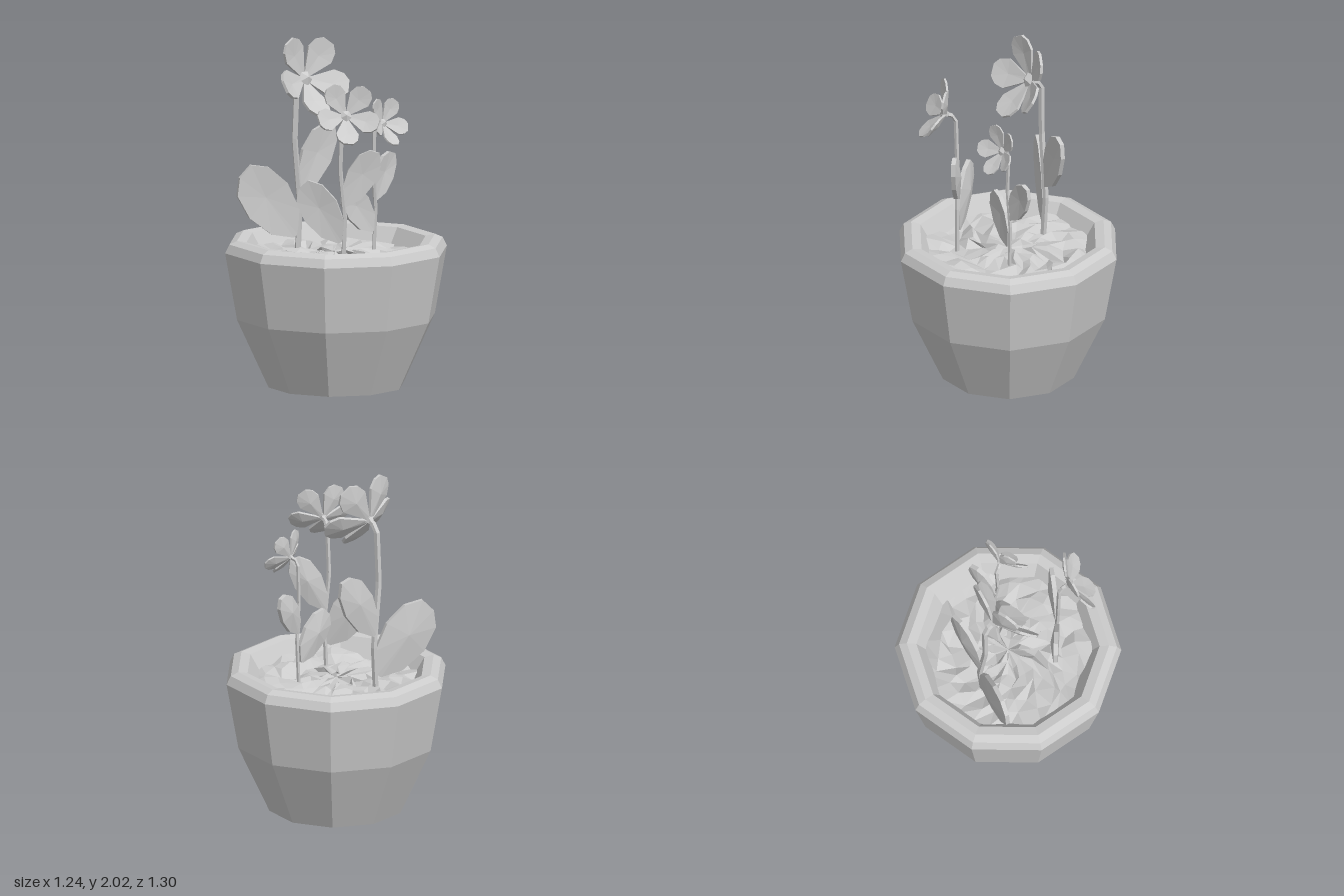
import * as THREE from 'three';

const V = (a) => new THREE.Vector3(...a);
const material = new THREE.MeshStandardMaterial({ color: 0xcccccc, flatShading: true, side: THREE.DoubleSide });

function part(name, geometry) {
  const mesh = new THREE.Mesh(geometry, material);
  mesh.name = name;
  return mesh;
}

// Outlines from base (y = 0) to tip (y = 1), as [half-width fraction, height]
const petalOutline = [[0.12, 0], [0.4, 0.2], [1, 0.62], [0.85, 0.86], [0.42, 1], [-0.42, 1], [-0.85, 0.86], [-1, 0.62], [-0.4, 0.2], [-0.12, 0]];
const leafOutline = [[0.1, 0], [0.75, 0.22], [1, 0.55], [0.8, 0.84], [0.3, 1], [-0.35, 0.97], [-0.85, 0.82], [-1, 0.52], [-0.7, 0.2], [-0.1, 0]];

// Thin faceted blade: two rims and a raised centre point on each side
function blade(outline, length, width, thickness, bulge) {
  const n = outline.length, pos = [], index = [];
  for (const side of [1, -1]) {
    for (const [x, y] of outline) pos.push(x * width / 2, y * length, side * thickness / 2);
    pos.push(0, length * 0.58, side * (thickness / 2 + (side > 0 ? -bulge * 0.5 : bulge)));
  }
  for (let i = 0; i < n; i++) {
    const j = (i + 1) % n, b = n + 1;
    index.push(n, i, j, b + n, b + j, b + i, i, b + i, j, j, b + i, b + j);
  }
  const g = new THREE.BufferGeometry();
  g.setAttribute('position', new THREE.Float32BufferAttribute(pos, 3));
  g.setIndex(index);
  g.computeVertexNormals();
  return g;
}

// Leaf standing in the vertical plane through base and tip
function leaf({ base, tip, width }) {
  const a = V(base), along = V(tip).sub(a), length = along.length();
  along.normalize();
  const normal = new THREE.Vector3(-along.z, 0, along.x).normalize();
  if (normal.z < 0) normal.negate();
  const across = new THREE.Vector3().crossVectors(along, normal);
  const mesh = part('leaf', blade(leafOutline, length, width, 0.025, 0.022));
  mesh.quaternion.setFromRotationMatrix(new THREE.Matrix4().makeBasis(across, along, normal));
  mesh.position.copy(a);
  return mesh;
}

// Five cupped petals around a small faceted centre, facing +z before rotation
function flowerHead(size) {
  const head = new THREE.Group();
  head.name = 'flowerHead';
  for (let i = 0; i < 5; i++) {
    const spoke = new THREE.Group();
    spoke.name = 'petalSpoke';
    const petal = part('petal', blade(petalOutline, 0.25, 0.175, 0.016, 0.016));
    petal.position.set(0, 0.015, 0);
    petal.rotation.x = 0.42;
    spoke.add(petal);
    spoke.rotation.z = THREE.MathUtils.degToRad(174 + i * 72);
    head.add(spoke);
  }
  const centre = part('flowerCentre', new THREE.ConeGeometry(0.05, 0.03, 5));
  centre.rotation.x = Math.PI / 2;
  centre.position.z = 0.03;
  const cup = part('flowerBase', new THREE.CylinderGeometry(0.04, 0.018, 0.04, 5));
  cup.rotation.x = Math.PI / 2;
  cup.position.z = -0.005;
  head.add(centre, cup);
  head.scale.setScalar(size);
  return head;
}

function flower({ stem, radius, size, pitch, yaw, leaves }) {
  const group = new THREE.Group();
  group.name = 'flower';
  // Straight stem pieces with sharp bends
  const pts = stem.map(V);
  const path = new THREE.CurvePath();
  for (let i = 1; i < pts.length; i++) path.add(new THREE.LineCurve3(pts[i - 1], pts[i]));
  group.add(part('stem', new THREE.TubeGeometry(path, 22, radius, 5)));
  const head = flowerHead(size);
  head.position.copy(pts[pts.length - 1]);
  head.rotation.set(-THREE.MathUtils.degToRad(pitch), THREE.MathUtils.degToRad(yaw), 0, 'YXZ');
  group.add(head, ...leaves.map(leaf));
  return group;
}

// Crumpled disc of earth
function soil() {
  let seed = 7;
  const rand = () => (seed = (seed * 16807) % 2147483647) / 2147483647 - 0.5;
  const g = new THREE.RingGeometry(0.001, 0.485, 30, 6);
  g.rotateX(-Math.PI / 2);
  const p = g.attributes.position, cols = 31;
  for (let r = 0; r <= 6; r++) {
    for (let c = 0; c < cols; c++) {
      const i = r * cols + c;
      if (c === cols - 1) {
        p.setXYZ(i, p.getX(r * cols), p.getY(r * cols), p.getZ(r * cols));
        continue;
      }
      const wobble = r === 0 || r === 6 ? 0 : 0.05;
      p.setXYZ(i, p.getX(i) + rand() * wobble, 0.765 + (r ? rand() * 0.06 : 0.01), p.getZ(i) + rand() * wobble);
    }
  }
  g.computeVertexNormals();
  return part('soil', g);
}

export function createModel() {
  const model = new THREE.Group();
  model.name = 'pottedFlowers';

  // Ten-sided pot with bevelled rim and hollow top
  const profile = [[0, 0], [0.395, 0], [0.58, 0.4], [0.65, 0.79], [0.625, 0.84], [0.58, 0.86], [0.525, 0.85], [0.44, 0.71], [0, 0.71]];
  model.add(part('pot', new THREE.LatheGeometry(profile.map(([x, y]) => new THREE.Vector2(x, y)), 10)));
  model.add(soil());

  // Tall flower at the back
  model.add(flower({
    stem: [[-0.11, 0.72, -0.25], [-0.09, 1.02, -0.26], [-0.13, 1.4, -0.25], [-0.12, 1.71, -0.245], [-0.115, 1.745, -0.225], [-0.11, 1.765, -0.175]],
    radius: 0.018, size: 1, pitch: 23, yaw: 10,
    leaves: [
      { base: [-0.12, 0.84, -0.26], tip: [-0.42, 1.24, -0.32], width: 0.3 },
      { base: [-0.09, 1.09, -0.26], tip: [0.12, 1.47, -0.275], width: 0.21 },
    ],
  }));
  // Middle flower at the front
  model.add(flower({
    stem: [[-0.11, 0.72, 0.27], [-0.1, 1.02, 0.275], [-0.125, 1.3, 0.265], [-0.12, 1.58, 0.275], [-0.122, 1.61, 0.295], [-0.13, 1.625, 0.335]],
    radius: 0.013, size: 0.76, pitch: 24, yaw: -16,
    leaves: [
      { base: [-0.12, 0.88, 0.26], tip: [-0.29, 1.22, 0.13], width: 0.22 },
      { base: [-0.1, 1.09, 0.27], tip: [0.06, 1.41, 0.35], width: 0.17 },
    ],
  }));
  // Short flower on the left
  model.add(flower({
    stem: [[0.21, 0.72, 0.065], [0.225, 1.02, 0.065], [0.205, 1.25, 0.075], [0.215, 1.48, 0.07], [0.22, 1.505, 0.085], [0.24, 1.52, 0.115]],
    radius: 0.011, size: 0.6, pitch: 22, yaw: 20,
    leaves: [
      { base: [0.2, 0.89, 0.065], tip: [0.01, 1.16, 0.09], width: 0.18 },
      { base: [0.225, 1.07, 0.06], tip: [0.36, 1.33, 0.015], width: 0.15 },
    ],
  }));
  return model;
}
